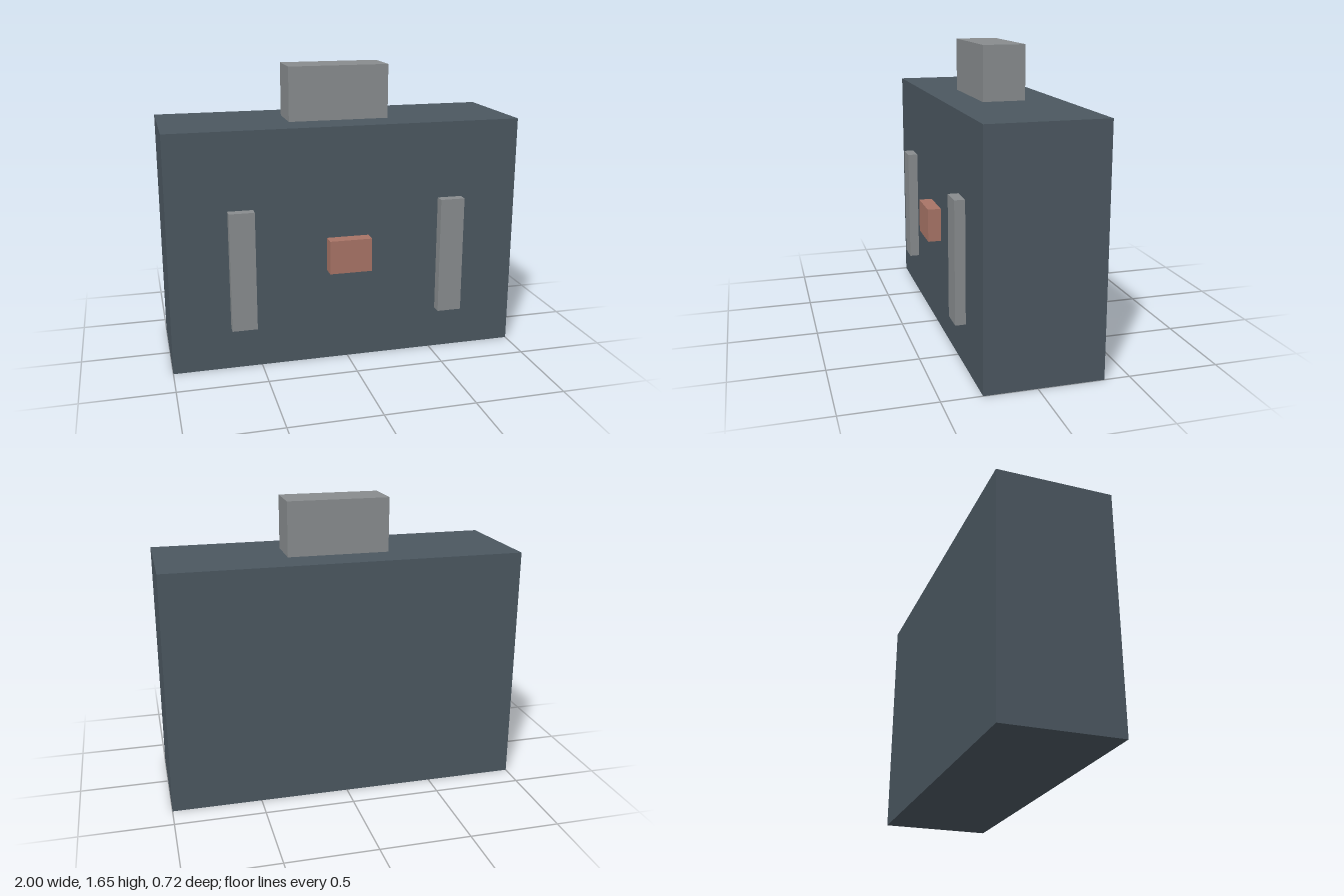
import * as THREE from 'three';

export function createModel() {
  const group = new THREE.Group();
  const material = (name, color) => {
    const m = new THREE.MeshStandardMaterial({ color });
    m.name = name;
    return m;
  };
  const slate = material('slate', 0x4b5760);
  const grey = material('grey', 0x888c8e);
  const copper = material('copper', 0xa87466);

  // Box given by its extents on each axis
  const addBox = (name, mat, [x0, x1], [y0, y1], [z0, z1]) => {
    const mesh = new THREE.Mesh(new THREE.BoxGeometry(x1 - x0, y1 - y0, z1 - z0), mat);
    mesh.position.set((x0 + x1) / 2, (y0 + y1) / 2, (z0 + z1) / 2);
    mesh.name = name;
    group.add(mesh);
  };

  const front = 0.285;

  // Case body and the handle block on top
  addBox('body', slate, [-1, 1], [0, 1.35], [-0.36, front]);
  addBox('handle', grey, [-0.287, 0.287], [1.35, 1.655], [-0.157, 0.083]);

  // Upright straps either side of the clasp
  for (const [name, x] of [['leftStrap', 0.6], ['rightStrap', -0.6]]) {
    addBox(name, grey, [x - 0.07, x + 0.07], [0.243, 0.915], [front, 0.342]);
  }

  // Clasp in the middle of the front
  addBox('clasp', copper, [-0.12, 0.12], [0.535, 0.725], [front, 0.36]);

  return group;
}
